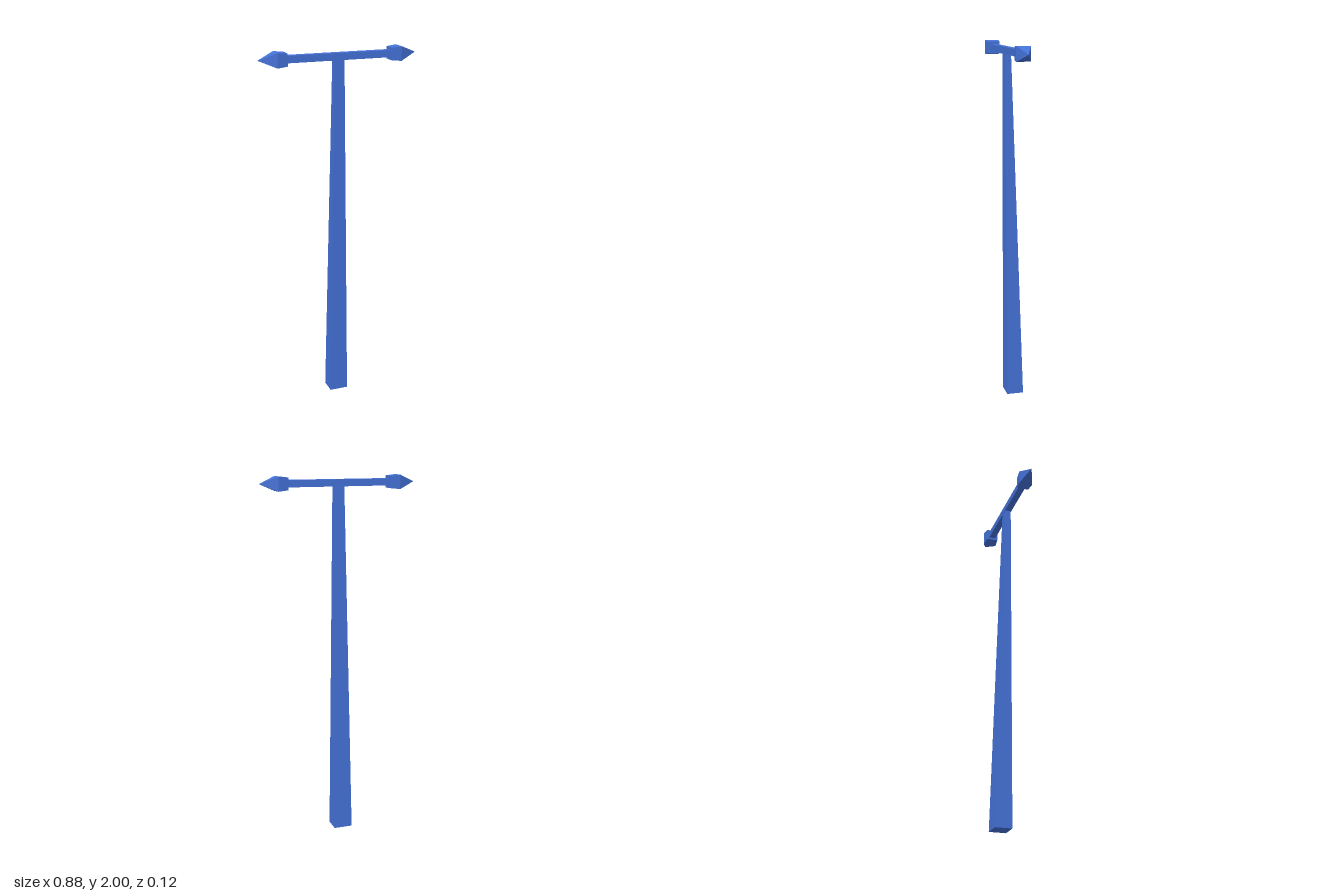
import * as THREE from 'three';

const BAR_Y = 1.962, BAR_Z = 0.02;

export function createModel() {
  const model = new THREE.Group();
  const material = new THREE.MeshStandardMaterial({ color: 0x4472d8, flatShading: true });
  const add = (name, geometry) => {
    const mesh = new THREE.Mesh(geometry, material);
    mesh.name = name;
    model.add(mesh);
    return mesh;
  };

  // Tapered square pole: the front stays nearly upright, the back leans in
  const height = 1.945;
  const pole = new THREE.BoxGeometry(1, height, 1).translate(0, height / 2, 0);
  const p = pole.attributes.position;
  for (let i = 0; i < p.count; i++) {
    const t = p.getY(i) / height;
    const front = THREE.MathUtils.lerp(0.03, 0.036, t);
    const back = THREE.MathUtils.lerp(-0.064, 0.002, t);
    p.setX(i, Math.sign(p.getX(i)) * THREE.MathUtils.lerp(0.052, 0.028, t));
    p.setZ(i, p.getZ(i) > 0 ? front : back);
  }
  pole.computeVertexNormals();
  add('pole', pole);

  // Square crossbar
  add('crossbar', new THREE.BoxGeometry(0.58, 0.038, 0.038)).position.set(0, BAR_Y, BAR_Z);

  // Four-sided pointed finials, profile given as [half width, distance from centre]
  const profile = [[0, 0.288], [0.033, 0.288], [0.039, 0.345], [0, 0.44]]
    .map(([half, d]) => new THREE.Vector2(half * Math.SQRT2, d));
  for (const [name, side] of [['leftFinial', 1], ['rightFinial', -1]]) {
    const finial = new THREE.LatheGeometry(profile, 4, Math.PI / 4).rotateZ(-side * Math.PI / 2);
    add(name, finial).position.set(0, BAR_Y, BAR_Z);
  }
  return model;
}
